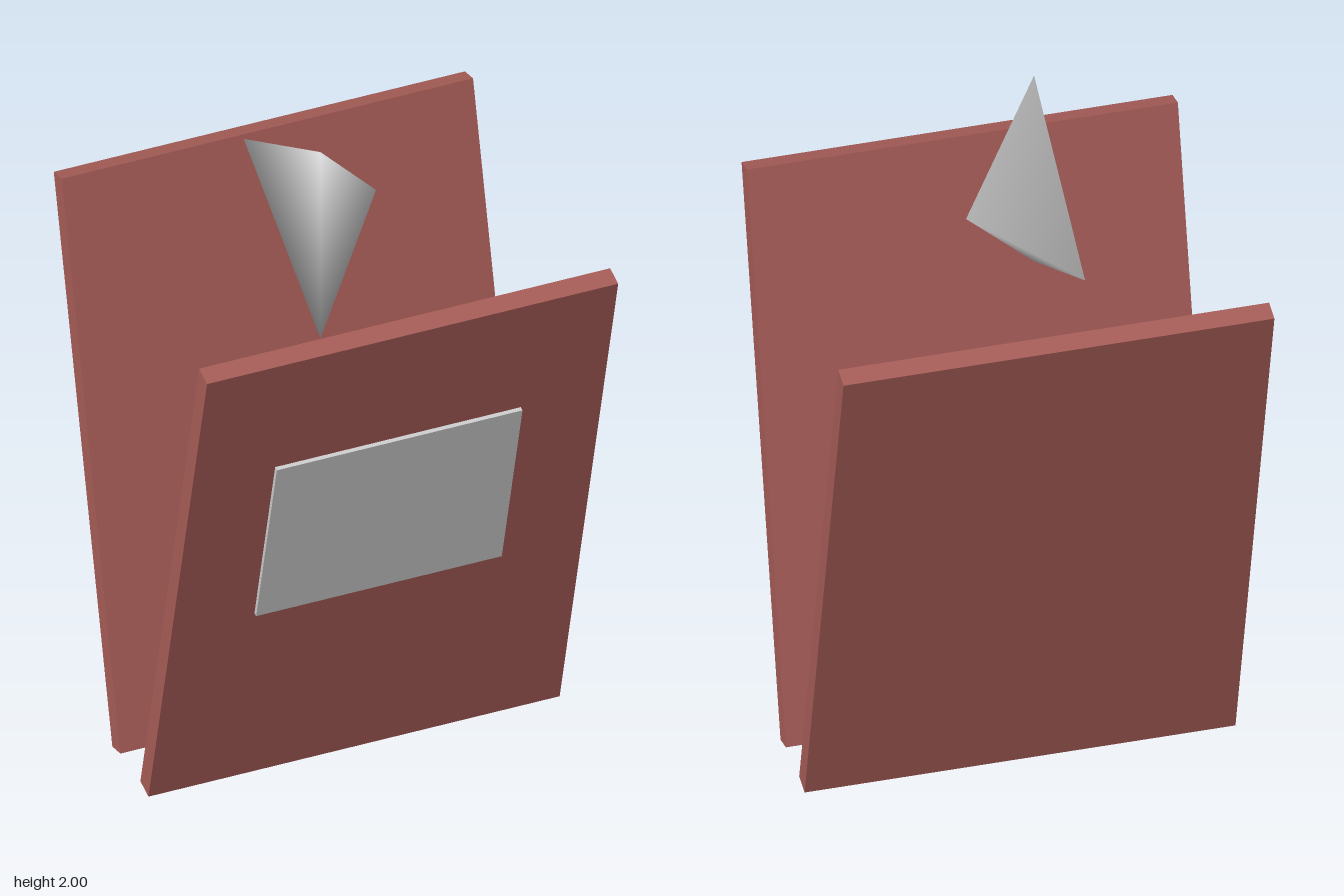
import * as THREE from 'three';

const TILT = THREE.MathUtils.degToRad(14);

// Three-sided pyramid pointing to +x, softly shaded across its edges
function pyramidGeometry(baseX, tipX, y, radius) {
  const pos = [tipX, y, 0];
  const normal = [1, 0, 0];
  for (let i = 0; i < 3; i++) {
    const a = Math.PI / 3 + (i * 2 * Math.PI) / 3;
    const up = Math.sin(a) * (i === 1 ? 0 : 1), out = Math.cos(a);
    pos.push(baseX, y + up * radius, out * radius);
    normal.push(-0.22, up * 0.975, out * 0.975);
  }
  // corners: 0 tip, 1 top front, 2 back, 3 bottom front
  const geo = new THREE.BufferGeometry();
  geo.setAttribute('position', new THREE.Float32BufferAttribute(pos, 3));
  geo.setAttribute('normal', new THREE.Float32BufferAttribute(normal, 3));
  geo.setIndex([0, 1, 3, 0, 3, 2, 0, 2, 1, 1, 2, 3]);
  return geo;
}

export function createModel() {
  const model = new THREE.Group();
  model.name = 'foldingBoard';

  const red = new THREE.MeshStandardMaterial({ color: 0xa65c57 });
  const grey = new THREE.MeshStandardMaterial({ color: 0xcccccc });

  // Two boards leaning apart in a V
  const width = 1.18, height = 1.655, thick = 0.057;
  for (const [name, side] of [['frontBoard', 1], ['backBoard', -1]]) {
    const board = new THREE.Group();
    board.name = name;
    board.position.set(0, 0.81, side * 0.296);
    board.rotation.x = side * TILT;
    const panel = new THREE.Mesh(new THREE.BoxGeometry(width, height, thick), red);
    panel.name = name + 'Panel';
    board.add(panel);

    // Thin plate on the outside of the front board
    if (side > 0) {
      const plate = new THREE.Mesh(new THREE.BoxGeometry(0.705, 0.585, 0.024), grey);
      plate.name = 'frontPlate';
      plate.position.set(0, 0.121, thick / 2);
      board.add(plate);
    }
    model.add(board);
  }

  // Pointer floating over the gap
  const pointer = new THREE.Mesh(pyramidGeometry(-0.118, 0.115, 1.697, 0.35), grey);
  pointer.name = 'pointer';
  model.add(pointer);

  return model;
}
